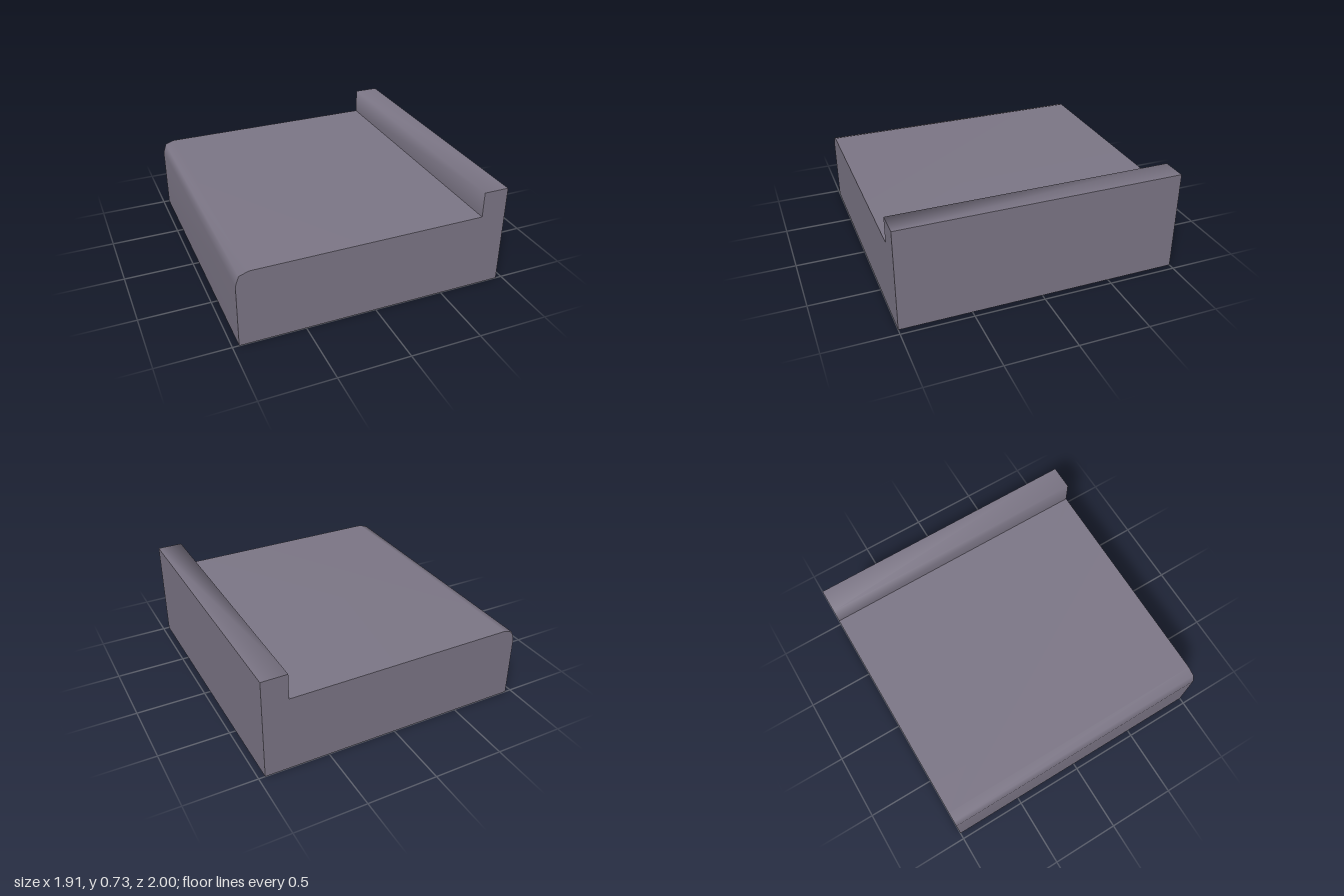
import * as THREE from 'three';

const HALF_DEPTH = 1;

// Profile runs, counterclockwise; each run is smooth inside and sharp at its ends
const runs = {
  bottom: [[-0.955, 0], [0.955, 0]],
  outerWall: [[0.955, 0], [0.955, 0.73]],
  raisedLip: [[0.955, 0.73], [0.774, 0.73], [0.774, 0.547]],
  roundedDeck: [[0.774, 0.547], [-0.865, 0.547], [-0.931, 0.524], [-0.955, 0.456], [-0.955, 0]],
};

// Sweep a run of profile points along z
function strip(points) {
  const positions = [];
  const index = [];
  points.forEach(([x, y], i) => {
    positions.push(x, y, HALF_DEPTH, x, y, -HALF_DEPTH);
    if (i < points.length - 1) {
      const a = i * 2;
      index.push(a, a + 1, a + 3, a, a + 3, a + 2);
    }
  });
  const geometry = new THREE.BufferGeometry();
  geometry.setAttribute('position', new THREE.Float32BufferAttribute(positions, 3));
  geometry.setIndex(index);
  geometry.computeVertexNormals();
  return geometry;
}

export function createModel() {
  const group = new THREE.Group();
  group.name = 'lippedSlab';
  const stone = new THREE.MeshStandardMaterial({ color: 0x7c7686 });
  stone.name = 'greyViolet';

  const add = (name, geometry) => {
    const mesh = new THREE.Mesh(geometry, stone);
    mesh.name = name;
    group.add(mesh);
    return mesh;
  };

  // Long faces
  for (const [name, points] of Object.entries(runs)) add(name, strip(points));

  // Flat front and back ends
  const outline = Object.values(runs).flatMap((points) => points.slice(0, -1));
  const profile = new THREE.Shape(outline.map(([x, y]) => new THREE.Vector2(x, y)));
  add('frontEnd', new THREE.ShapeGeometry(profile)).position.z = HALF_DEPTH;

  const mirrored = new THREE.Shape(outline.map(([x, y]) => new THREE.Vector2(-x, y)).reverse());
  const back = add('backEnd', new THREE.ShapeGeometry(mirrored));
  back.rotation.y = Math.PI;
  back.position.z = -HALF_DEPTH;

  return group;
}
